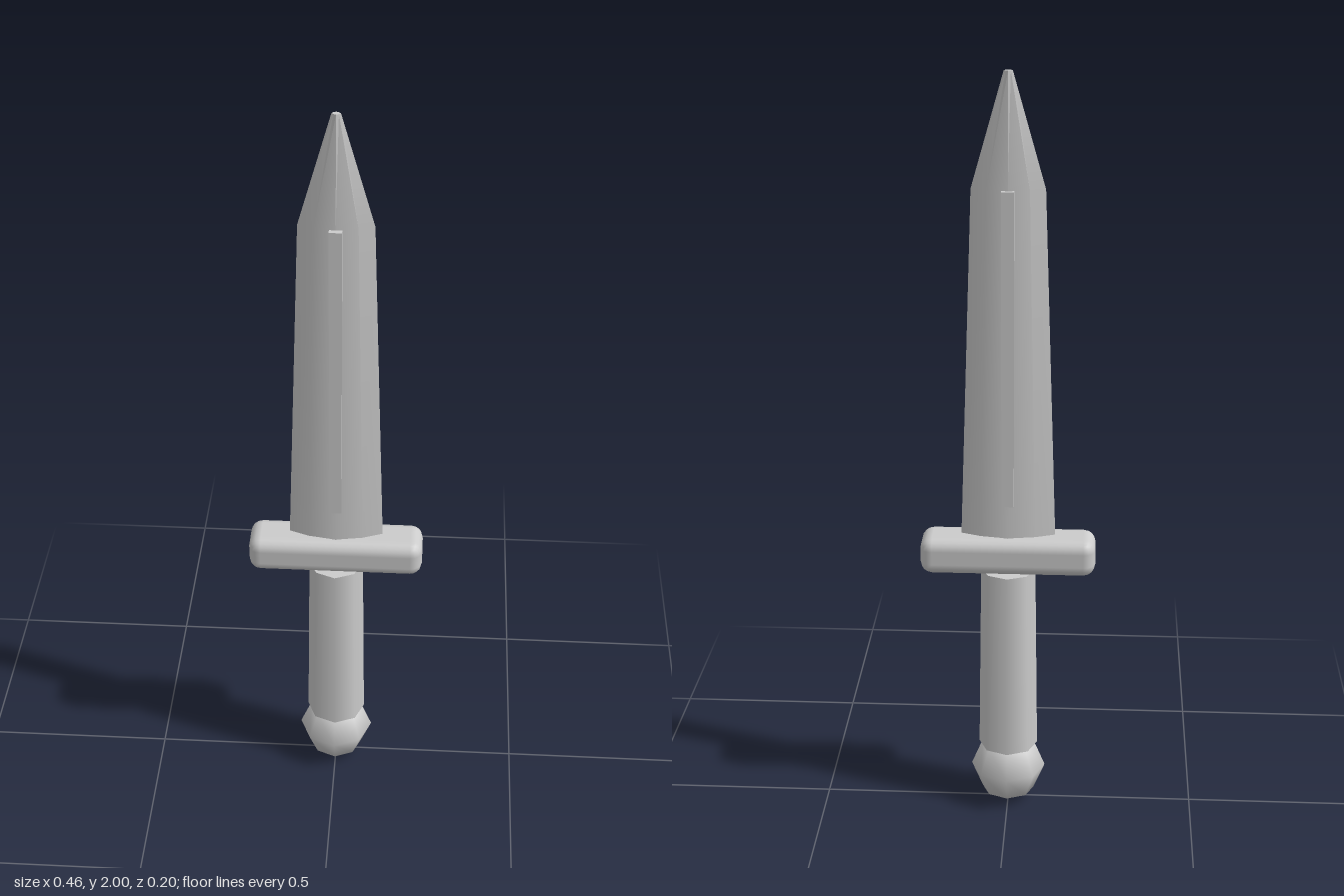
import * as THREE from 'three';
import { toCreasedNormals } from 'three/addons/utils/BufferGeometryUtils.js';
import { RoundedBoxGeometry } from 'three/addons/geometries/RoundedBoxGeometry.js';

// Blade skin: a lens-shaped section lofted through [y, halfWidth, halfThickness] stations
function bladeGeometry(stations) {
  const section = [[1, 0], [0.58, 0.62], [0, 1], [-0.58, 0.62], [-1, 0], [-0.58, -0.62], [0, -1], [0.58, -0.62]];
  const n = section.length;
  const positions = [];
  const index = [];
  for (const [y, w, t] of stations) {
    for (const [x, z] of section) positions.push(x * w, y, z * t);
  }
  for (let i = 0; i < stations.length - 1; i++) {
    for (let j = 0; j < n; j++) {
      const a = i * n + j;
      const b = i * n + (j + 1) % n;
      index.push(a, a + n, b, b, a + n, b + n);
    }
  }
  // Flat caps at the tip and at the hidden root
  const top = (stations.length - 1) * n;
  for (let j = 1; j < n - 1; j++) {
    index.push(top, top + j + 1, top + j);
    index.push(0, j, j + 1);
  }
  const geometry = new THREE.BufferGeometry();
  geometry.setAttribute('position', new THREE.Float32BufferAttribute(positions, 3));
  geometry.setIndex(index);
  return toCreasedNormals(geometry, 0.6);
}

export function createModel() {
  const group = new THREE.Group();
  const steel = new THREE.MeshStandardMaterial({ color: 0xcccccc });
  steel.name = 'pale grey';

  const add = (name, geometry, y) => {
    const mesh = new THREE.Mesh(geometry, steel);
    mesh.name = name;
    mesh.position.y = y;
    group.add(mesh);
  };

  // Faceted round pommel
  add('pommel', new THREE.SphereGeometry(0.1, 8, 4), 0.1);

  // Eight-sided grip, slightly wider at the pommel
  add('grip', new THREE.CylinderGeometry(0.072, 0.079, 0.52, 8), 0.43);

  // Rounded crossguard
  add('crossguard', new RoundedBoxGeometry(0.46, 0.1, 0.123, 2, 0.032), 0.74);

  // Tapering blade with a shoulder and blunt tip
  add('blade', bladeGeometry([[0.74, 0.125, 0.033], [1.71, 0.093, 0.024], [2, 0.011, 0.008]]), 0);

  // Raised central rib showing on both faces
  add('bladeRib', new THREE.BoxGeometry(0.032, 0.83, 0.072), 1.295);

  return group;
}
